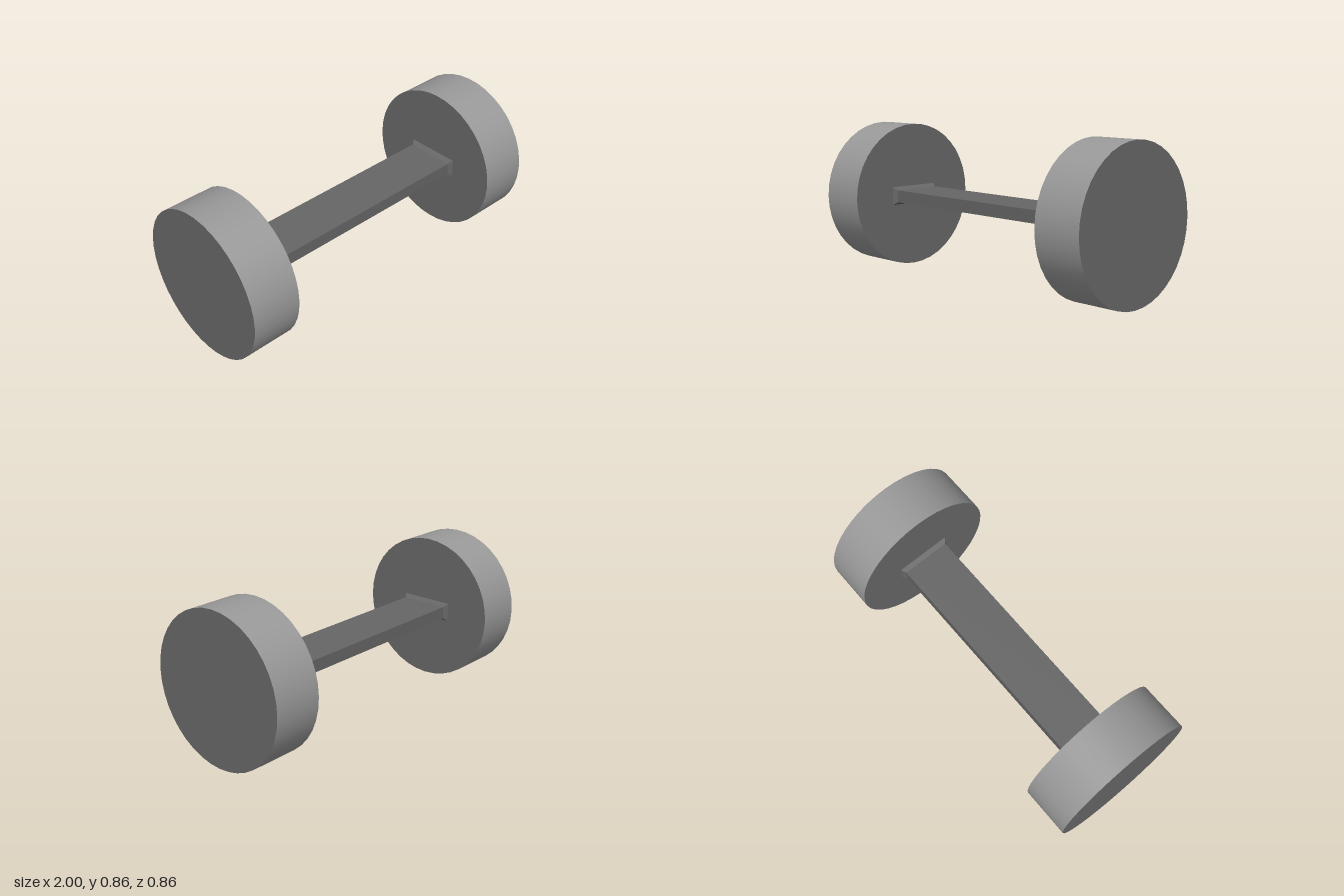
import * as THREE from 'three';

const RADIUS = 0.428, WIDTH = 0.286, BAR_H = 0.072, BAR_D = 0.286;
const INNER = 1 - WIDTH;   // x of the inner faces of the end weights
const COLLAR = 0.024;      // length of the flared joint

export function createModel() {
  const model = new THREE.Group();
  model.name = 'dumbbell';

  const rimGrey = new THREE.MeshStandardMaterial({ color: 0x999999 });
  rimGrey.name = 'rim grey';
  const darkGrey = new THREE.MeshStandardMaterial({ color: 0x666666 });
  darkGrey.name = 'dark grey';

  function add(name, geometry, material, x) {
    const mesh = new THREE.Mesh(geometry, material);
    mesh.name = name;
    mesh.position.set(x, RADIUS, 0);
    model.add(mesh);
  }

  // Flat handle between the weights
  add('handle', new THREE.BoxGeometry(2 * INNER, BAR_H, BAR_D), darkGrey, 0);

  for (const side of [1, -1]) {
    const label = side > 0 ? 'left' : 'right';

    // Round end weight: light rim, dark flat faces
    const weight = new THREE.CylinderGeometry(RADIUS, RADIUS, WIDTH, 40).rotateZ(Math.PI / 2);
    add(label + 'Weight', weight, [rimGrey, darkGrey, darkGrey], side * (1 - WIDTH / 2));

    // Flared joint: a box widened at the end that meets the weight
    const collar = new THREE.BoxGeometry(COLLAR, BAR_H, BAR_D);
    const p = collar.attributes.position;
    for (let i = 0; i < p.count; i++) {
      if (p.getX(i) * side > 0) {
        p.setY(i, p.getY(i) + Math.sign(p.getY(i)) * 0.018);
        p.setZ(i, p.getZ(i) + Math.sign(p.getZ(i)) * 0.018);
      }
    }
    collar.computeVertexNormals();
    add(label + 'Collar', collar, darkGrey, side * (INNER - COLLAR / 2));
  }
  return model;
}
